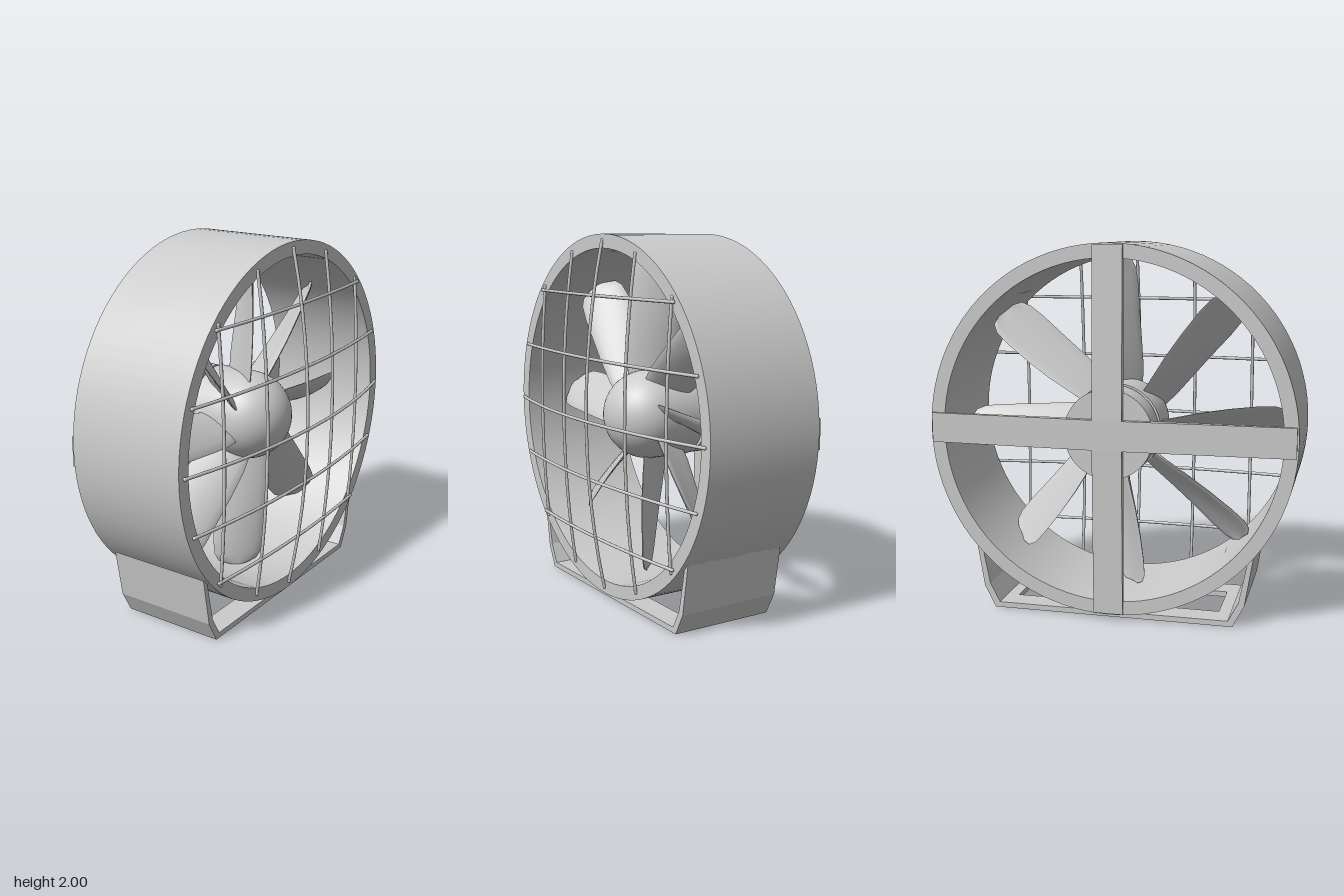
import * as THREE from 'three';
import { toCreasedNormals } from 'three/addons/utils/BufferGeometryUtils.js';

const CY = 1.015; // height of the fan axis, which runs along x
const material = new THREE.MeshStandardMaterial({ color: 0xcccccc });
const thinMaterial = new THREE.MeshStandardMaterial({ color: 0xcccccc, side: THREE.DoubleSide });

function part(parent, name, geometry, mat = material) {
  const mesh = new THREE.Mesh(geometry, mat);
  mesh.name = name;
  parent.add(mesh);
  return mesh;
}

const polygon = (pts) => new THREE.Shape(pts.map(([x, y]) => new THREE.Vector2(x, y)));

// Extrude a side-on outline along x, from x0 to x1
function extrudeX(shape, x0, x1, curveSegments = 12) {
  return new THREE.ExtrudeGeometry(shape, { depth: x1 - x0, bevelEnabled: false, curveSegments })
    .rotateY(Math.PI / 2).translate(x0, 0, 0);
}

// Turn a [radius, x] profile around the fan axis
function latheX(profile) {
  const g = new THREE.LatheGeometry(profile.map(([r, x]) => new THREE.Vector2(r, x)), 48);
  return toCreasedNormals(g.rotateZ(-Math.PI / 2), 0.6);
}

// Twisted blade pointing up: stations of [radius, chord, pitch in degrees, sideways offset]
function bladeGeometry() {
  const stations = [
    [0.16, 0.24, 62, 0.03], [0.3, 0.28, 59, 0.02], [0.45, 0.295, 55, 0.0], [0.6, 0.295, 51, -0.015],
    [0.75, 0.29, 47, -0.025], [0.84, 0.27, 45, -0.03], [0.885, 0.22, 44, -0.03], [0.905, 0.12, 44, -0.03],
  ];
  const n = 16, pos = [], index = [];
  stations.forEach(([r, chord, deg, off], k) => {
    const s = Math.sin(deg * Math.PI / 180), c = Math.cos(deg * Math.PI / 180);
    const thick = 0.04 - 0.003 * k;
    for (let i = 0; i < n; i++) {
      const a = i / n * Math.PI * 2;
      const u = Math.cos(a) * chord / 2;
      const v = Math.sin(a) * thick / 2 + 0.015 * Math.sin(a) ** 2;
      pos.push(u * s + v * c - 0.04, r, u * c - v * s + off);
      if (k) {
        const j = (i + 1) % n, lo = (k - 1) * n, hi = k * n;
        index.push(lo + i, lo + j, hi + j, lo + i, hi + j, hi + i);
      }
    }
  });
  const top = (stations.length - 1) * n;
  for (let i = 1; i < n - 1; i++) index.push(top, top + i, top + i + 1);
  const g = new THREE.BufferGeometry();
  g.setAttribute('position', new THREE.Float32BufferAttribute(pos, 3));
  g.setIndex(index);
  return toCreasedNormals(g, 0.9);
}

export function createModel() {
  const model = new THREE.Group();
  model.name = 'drumFan';
  const fan = new THREE.Group();
  fan.name = 'fan';
  fan.position.y = CY;
  model.add(fan);

  // Drum housing
  const ring = new THREE.Shape().absarc(0, 0, 0.985, 0, Math.PI * 2);
  ring.holes.push(new THREE.Path().absarc(0, 0, 0.91, 0, Math.PI * 2));
  part(fan, 'housing', toCreasedNormals(extrudeX(ring, -0.385, 0.28, 48), 0.5));

  // Slightly bowed cross of bars at the back
  const barShape = polygon([[-0.375, -0.975], [-0.375, 0.975], [-0.4, 0.975], [-0.422, 0.08], [-0.422, -0.08], [-0.4, -0.975]]);
  for (const [name, turn] of [['verticalBackBar', 0], ['horizontalBackBar', Math.PI / 2]]) {
    const g = new THREE.ExtrudeGeometry(barShape, { depth: 0.16, bevelEnabled: false }).translate(0, 0, -0.08);
    part(fan, name, g.rotateX(turn));
  }

  // Motor, shaft and domed hub
  part(fan, 'motor', latheX([[0, -0.39], [0.24, -0.39], [0.24, -0.235], [0, -0.235]]));
  part(fan, 'shaft', latheX([[0.19, -0.24], [0.19, -0.2]]));
  const dome = [[0, -0.21], [0.245, -0.21], [0.245, -0.1]];
  for (let i = 0; i <= 12; i++) {
    const a = i / 12 * Math.PI / 2;
    dome.push([0.245 * Math.cos(a), 0.245 * Math.sin(a)]);
  }
  part(fan, 'hub', latheX(dome));

  // Eight blades
  const blade = bladeGeometry();
  for (let i = 0; i < 8; i++) {
    part(fan, 'blade', blade).rotation.x = i * Math.PI / 4 - 0.02;
  }

  // Bowed guard rods: [offset from axis, half length, rise of upright rods, rise of level rods]
  const guard = new THREE.Group();
  guard.name = 'guard';
  fan.add(guard);
  const cap = new THREE.SphereGeometry(0.01, 8, 6);
  const rod = (name, place, half, base, rise) => {
    const ends = [place(base, -half), place(base, half)];
    const curve = new THREE.QuadraticBezierCurve3(ends[0], place(base + 2 * rise, 0), ends[1]);
    part(guard, name, new THREE.TubeGeometry(curve, 12, 0.009, 8), thinMaterial);
    ends.forEach((p) => part(guard, name + 'End', cap).position.copy(p));
  };
  for (const [off, half, riseV, riseH] of [[0, 0.95, 0.105, 0.118], [0.33, 0.885, 0.065, 0.075], [0.663, 0.685, 0.03, 0.035]]) {
    for (const side of off ? [1, -1] : [1]) {
      rod('uprightGuardRod', (x, s) => new THREE.Vector3(x, s, side * off), half, 0.283, riseV);
      rod('levelGuardRod', (x, s) => new THREE.Vector3(x, side * off, s), half, 0.29, riseH);
    }
  }

  // Stand: open base plate and two bent side plates
  const base = polygon([[-0.335, -0.635], [0.25, -0.635], [0.25, 0.635], [-0.335, 0.635]]);
  base.holes.push(new THREE.Path([[-0.2, -0.57], [-0.2, 0.57], [0.115, 0.57], [0.115, -0.57]]
    .map(([x, y]) => new THREE.Vector2(x, y))));
  part(model, 'standBase', new THREE.ExtrudeGeometry(base, { depth: 0.03, bevelEnabled: false }).rotateX(-Math.PI / 2));
  const leg = [[0.635, 0], [0.66, 0], [0.722, 0.12], [0.765, 0.39], [0.735, 0.365], [0.69, 0.135], [0.635, 0.03]];
  for (const side of [1, -1]) {
    part(model, 'standSide', extrudeX(polygon(leg.map(([z, y]) => [side * z, y])), -0.335, 0.25));
  }
  return model;
}
